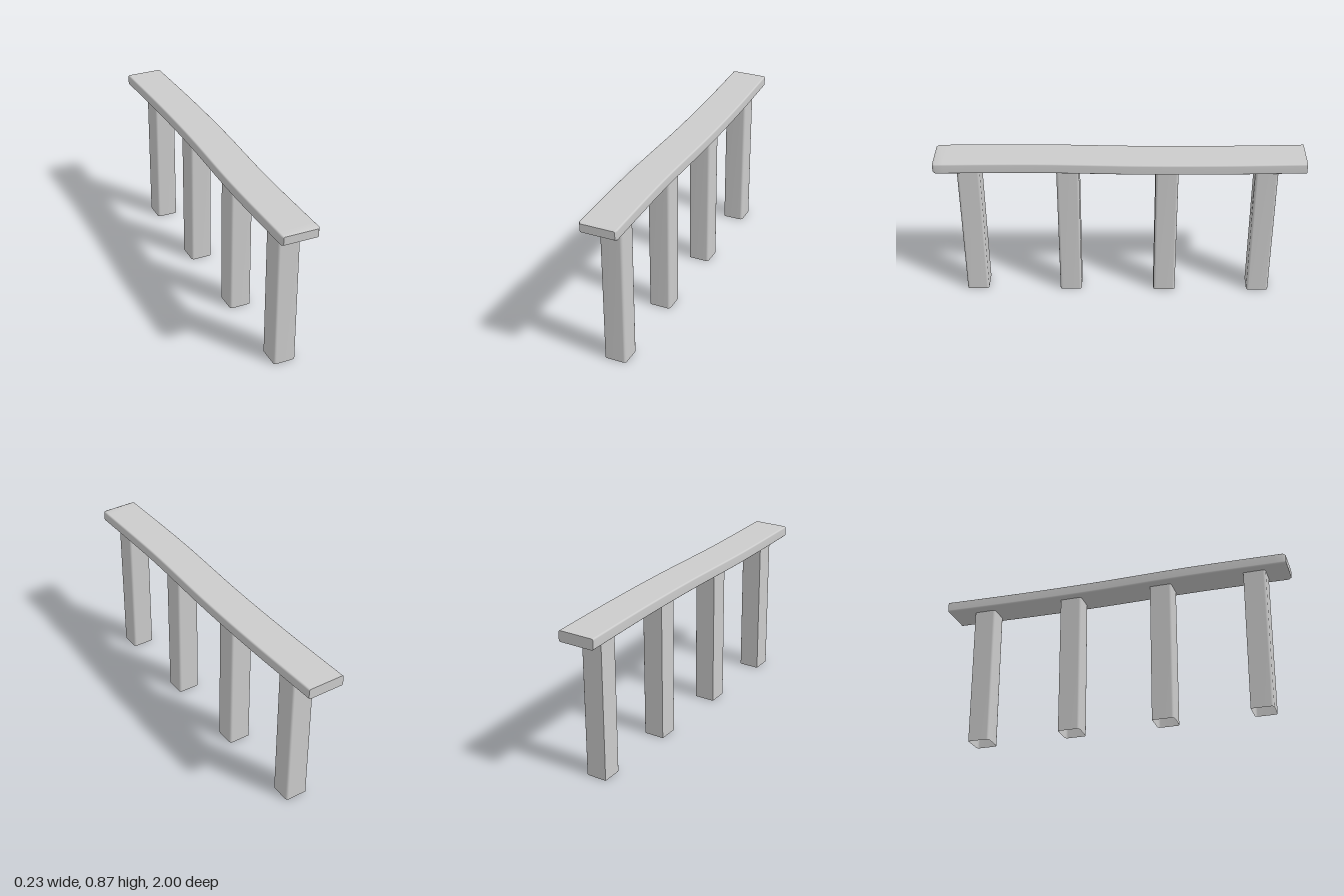
import * as THREE from 'three';
import { mergeGeometries } from 'three/addons/utils/BufferGeometryUtils.js';

const material = new THREE.MeshStandardMaterial({ color: 0xcccccc, side: THREE.DoubleSide });

// Rounded rectangle, counter-clockwise from the upper left corner.
// With sharpStart that first corner stays square and the outline is left unwelded there.
function section(halfW, halfH, r, sharpStart = false) {
  const points = [];
  [[-1, 1], [-1, -1], [1, -1], [1, 1]].forEach(([sx, sy], k) => {
    if (k === 0 && sharpStart) {
      points.push(new THREE.Vector2(-halfW, halfH));
      return;
    }
    for (let s = 0; s <= 3; s++) {
      const a = Math.PI / 2 * (k + 1 + s / 3);
      points.push(new THREE.Vector2(sx * (halfW - r) + r * Math.cos(a), sy * (halfH - r) + r * Math.sin(a)));
    }
  });
  if (sharpStart) points.push(points[0].clone());
  return points;
}

// Skin over cross-sections placed along z
function loft(rings, closed) {
  const n = rings[0].points.length, positions = [], uvs = [], index = [];
  rings.forEach(({ points, x = 0, z }, i) => points.forEach((p, j) => {
    positions.push(p.x + x, p.y, z);
    uvs.push(j / n, i / (rings.length - 1));
  }));
  for (let i = 0; i < rings.length - 1; i++) {
    for (let j = 0; j < (closed ? n : n - 1); j++) {
      const a = i * n + j, b = i * n + (j + 1) % n;
      index.push(a, b, b + n, a, b + n, a + n);
    }
  }
  const geometry = new THREE.BufferGeometry();
  geometry.setAttribute('position', new THREE.Float32BufferAttribute(positions, 3));
  geometry.setAttribute('uv', new THREE.Float32BufferAttribute(uvs, 2));
  geometry.setIndex(index);
  geometry.computeVertexNormals();
  return geometry;
}

function railGeometry() {
  const full = section(0.103, 0.03, 0.009);
  const inset = section(0.094, 0.023, 0.007);
  // Gentle sideways wander of the rail: x offset by z
  const path = new THREE.SplineCurve([
    [-1, -0.011], [-0.55, 0.005], [-0.1, 0.009], [0.45, -0.002], [1, 0.008],
  ].map(([z, x]) => new THREE.Vector2(z, x)));
  const rings = path.getPoints(24).map((p) => ({ points: full, x: p.y, z: p.x }));
  // The front end is eased, the back end is cut square
  const front = rings[rings.length - 1];
  front.z = 0.986;
  const body = loft([...rings, { points: inset, x: front.x, z: 1 }], true);
  const frontCap = new THREE.ShapeGeometry(new THREE.Shape(inset)).translate(front.x, 0, 1);
  const backCap = new THREE.ShapeGeometry(new THREE.Shape(full)).rotateY(Math.PI).translate(rings[0].x, 0, -1);
  return mergeGeometries([body, frontCap, backCap]);
}

export function createModel() {
  const model = new THREE.Group();
  model.name = 'railOnPosts';

  // Top rail
  const rail = new THREE.Mesh(railGeometry(), material);
  rail.name = 'rail';
  rail.position.y = 0.84;
  model.add(rail);

  // Hollow square posts, open at the bottom
  const outline = section(0.0615, 0.0615, 0.014, true);
  const postGeometry = loft([{ points: outline, z: 0 }, { points: outline, z: 0.815 }], false).rotateX(-Math.PI / 2);
  for (let i = 0; i < 4; i++) {
    const post = new THREE.Mesh(postGeometry, material);
    post.name = `post${i + 1}`;
    post.position.set(0.0125, 0, 0.817 - i * 0.5357);
    model.add(post);
  }
  return model;
}
